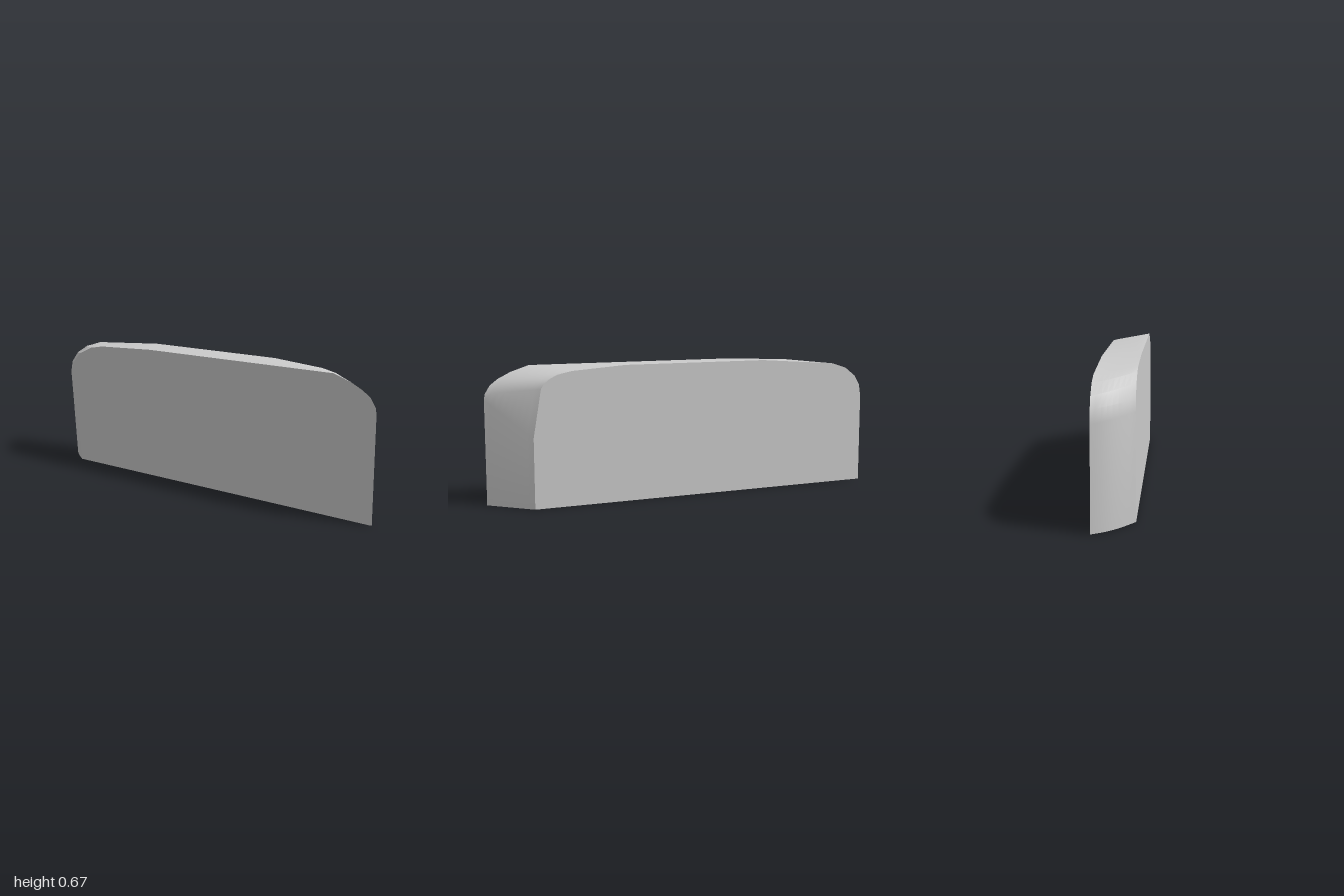
import * as THREE from 'three';
import { toCreasedNormals } from 'three/addons/utils/BufferGeometryUtils.js';

const HALF = 0.09; // half thickness
const STEPS = 8; // slices across the thickness

// Matching side outlines as [z, y], from the front foot over the top to the back foot
const leftOutline = [
  [0.81, 0], [0.81, 0.34], [0.77, 0.57], [0.755, 0.595], [0.73, 0.615],
  [0.69, 0.635], [0.62, 0.65], [0.35, 0.67], [-0.4, 0.67], [-0.82, 0.64],
  [-0.9, 0.615], [-0.96, 0.57], [-0.99, 0.52], [-1, 0.46], [-1, 0],
];
const rightOutline = [
  [1, 0], [1, 0.51], [0.995, 0.54], [0.97, 0.58], [0.93, 0.61],
  [0.87, 0.64], [0.78, 0.67], [0.76, 0.67], [-0.3, 0.67], [-0.636, 0.655],
  [-0.717, 0.64], [-0.8, 0.603], [-0.853, 0.545], [-0.866, 0.49], [-0.81, 0],
];
const COUNT = leftOutline.length;

// Blend between the outlines; the back end bows outwards a little
function point(slice, i) {
  const t = slice / STEPS;
  const [zr, yr] = rightOutline[i];
  const [zl, yl] = leftOutline[i];
  const bow = i >= 10 ? 0.027 * Math.sin(Math.PI * t) : 0;
  return [
    THREE.MathUtils.lerp(-HALF, HALF, t),
    THREE.MathUtils.lerp(yr, yl, t),
    THREE.MathUtils.lerp(zr, zl, t) - bow,
  ];
}

function buildPanel() {
  const positions = [];
  const index = [];
  for (let s = 0; s <= STEPS; s++) {
    for (let i = 0; i < COUNT; i++) positions.push(...point(s, i));
  }
  const at = (s, i) => s * COUNT + (i % COUNT);

  // Rim: ends, top and underside
  for (let s = 0; s < STEPS; s++) {
    for (let i = 0; i < COUNT; i++) {
      const a = at(s, i), b = at(s, i + 1), c = at(s + 1, i + 1), d = at(s + 1, i);
      index.push(a, d, c, a, c, b);
    }
  }
  // Flat sides
  for (let i = 1; i < COUNT - 1; i++) {
    index.push(at(0, 0), at(0, i), at(0, i + 1));
    index.push(at(STEPS, 0), at(STEPS, i + 1), at(STEPS, i));
  }

  const geometry = new THREE.BufferGeometry();
  geometry.setAttribute('position', new THREE.Float32BufferAttribute(positions, 3));
  geometry.setIndex(index);
  return toCreasedNormals(geometry, THREE.MathUtils.degToRad(25));
}

export function createModel() {
  const group = new THREE.Group();
  group.name = 'slantedPanel';
  const panel = new THREE.Mesh(
    buildPanel(),
    new THREE.MeshStandardMaterial({ color: 0xcccccc }),
  );
  panel.name = 'panelBody';
  group.add(panel);
  return group;
}
